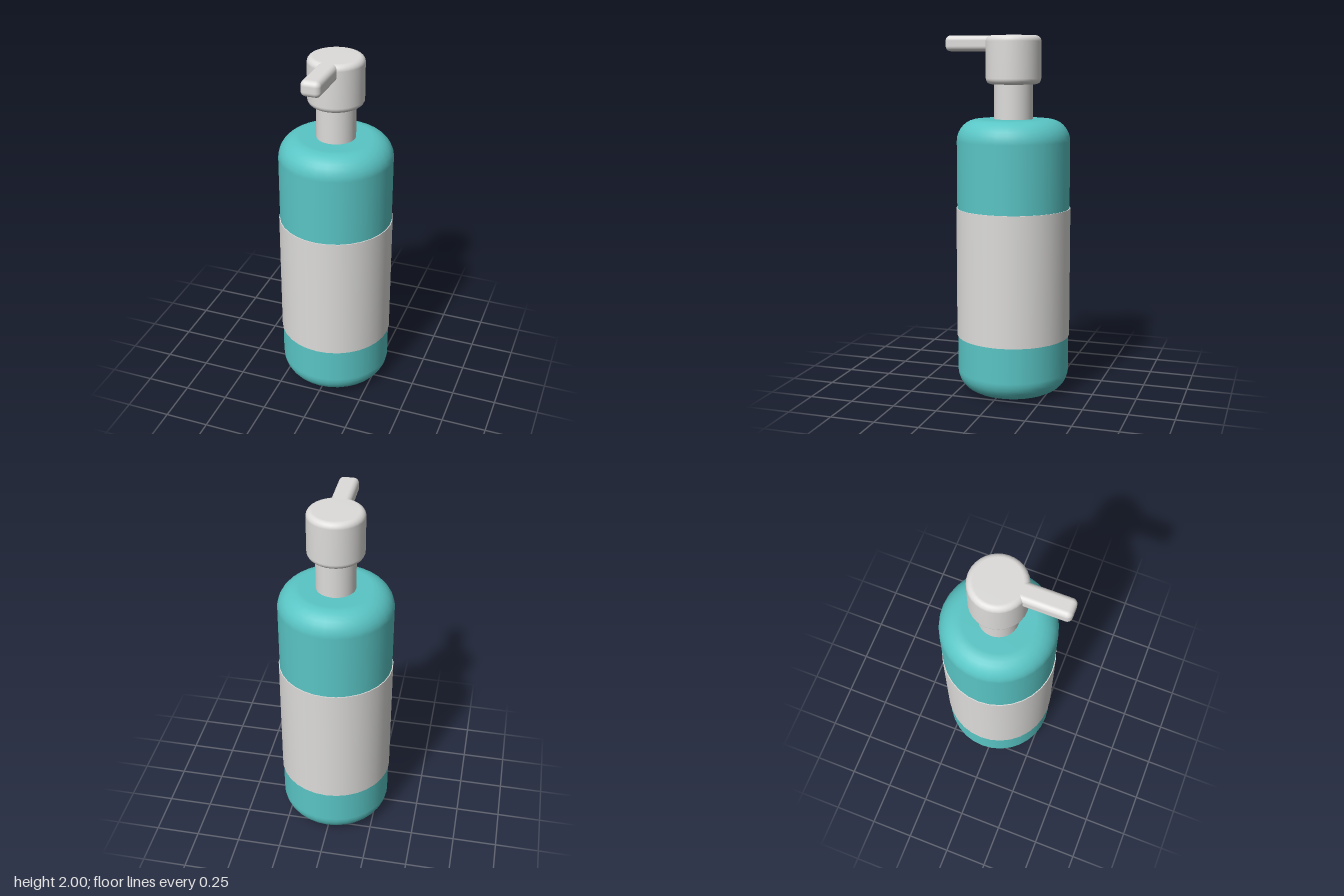
import * as THREE from 'three';
import { RoundedBoxGeometry } from 'three/addons/geometries/RoundedBoxGeometry.js';

const SIDES = 32;

// Solid of revolution with rounded rims, from y0 to y1
function roundedCylinder(radius, y0, y1, bevel, steps = 8) {
  const points = [new THREE.Vector2(0, y0)];
  for (const [cy, start] of [[y0 + bevel, -Math.PI / 2], [y1 - bevel, 0]]) {
    for (let i = 0; i <= steps; i++) {
      const a = start + (i / steps) * Math.PI / 2;
      points.push(new THREE.Vector2(radius - bevel + Math.cos(a) * bevel, cy + Math.sin(a) * bevel));
    }
  }
  points.push(new THREE.Vector2(0, y1));
  return new THREE.LatheGeometry(points, SIDES);
}

function cylinder(radius, y0, y1) {
  return new THREE.CylinderGeometry(radius, radius, y1 - y0, SIDES).translate(0, (y0 + y1) / 2, 0);
}

export function createModel() {
  const teal = new THREE.MeshStandardMaterial({ color: 0x5ac5c5 });
  teal.name = 'teal';
  const paleGrey = new THREE.MeshStandardMaterial({ color: 0xdddcda });
  paleGrey.name = 'paleGrey';

  const model = new THREE.Group();
  model.name = 'soapDispenser';
  const add = (name, geometry, material) => {
    const mesh = new THREE.Mesh(geometry, material);
    mesh.name = name;
    model.add(mesh);
    return mesh;
  };

  // Bottle and its wrap-around label
  add('bottle', roundedCylinder(0.315, 0, 1.545, 0.12), teal);
  add('label', cylinder(0.32, 0.32, 1.05), paleGrey);

  // Pump
  add('neck', cylinder(0.108, 1.5, 1.76), paleGrey);
  add('pumpHead', roundedCylinder(0.153, 1.735, 2, 0.032, 6), paleGrey);
  const spout = add('spout', new RoundedBoxGeometry(0.108, 0.086, 0.33, 4, 0.028), paleGrey);
  spout.position.set(0, 1.957, 0.22);

  // The spout overhangs the front, so the bottle axis sits slightly back
  for (const part of model.children) part.position.z -= 0.033;
  return model;
}
